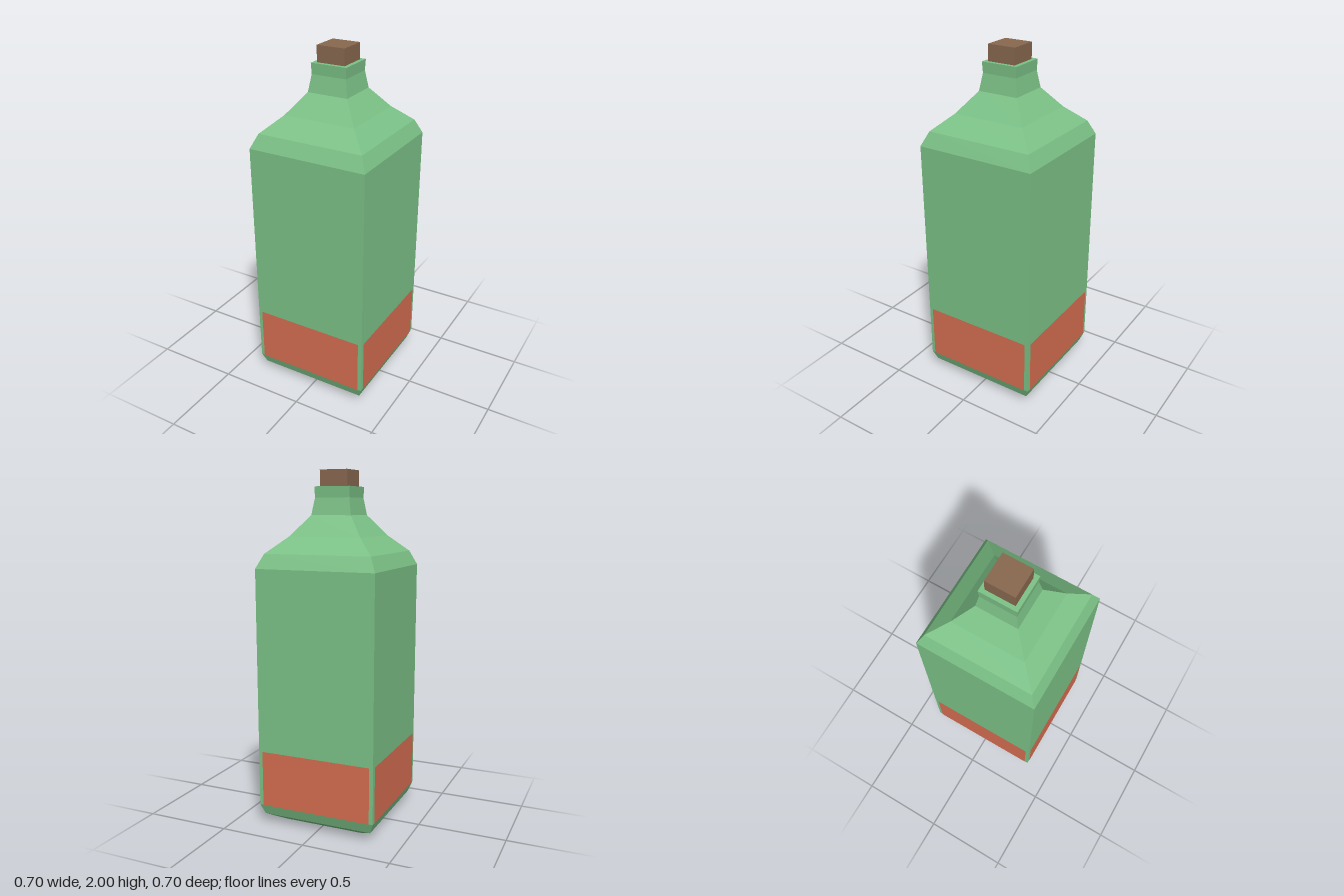
import * as THREE from 'three';

const material = (color) => new THREE.MeshStandardMaterial({ color, flatShading: true });

// Square-section solid: a four-sided lathe whose profile gives [half width, height]
function squareLathe(profile) {
  const points = profile.map(([half, y]) => new THREE.Vector2(half * Math.SQRT2, y));
  return new THREE.LatheGeometry(points, 4, Math.PI / 4);
}

export function createModel() {
  const bottle = new THREE.Group();
  bottle.name = 'bottle';

  const add = (name, geometry, mat, parent = bottle) => {
    const mesh = new THREE.Mesh(geometry, mat);
    mesh.name = name;
    parent.add(mesh);
    return mesh;
  };

  // Glass: chamfered base, straight walls, stepped shoulder, neck and rim
  add('glassBody', squareLathe([
    [0, 0], [0.235, 0], [0.325, 0.055], [0.347, 0.115],
    [0.347, 1.47], [0.31, 1.55], [0.21, 1.64], [0.118, 1.755],
    [0.102, 1.85], [0.105, 1.91], [0, 1.91],
  ]), material(0x7cc287));

  // Cork standing in the neck
  const cork = add('cork', new THREE.BoxGeometry(0.164, 0.15, 0.164), material(0x88684f));
  cork.position.y = 1.925;

  // One label on each of the four walls
  const labels = new THREE.Group();
  labels.name = 'labels';
  bottle.add(labels);
  const labelGeometry = new THREE.PlaneGeometry(0.65, 0.32).translate(0, 0.275, 0.349);
  const labelMaterial = material(0xd56d50);
  ['front', 'left', 'back', 'right'].forEach((side, i) => {
    add(side + 'Label', labelGeometry, labelMaterial, labels).rotation.y = i * Math.PI / 2;
  });

  return bottle;
}
